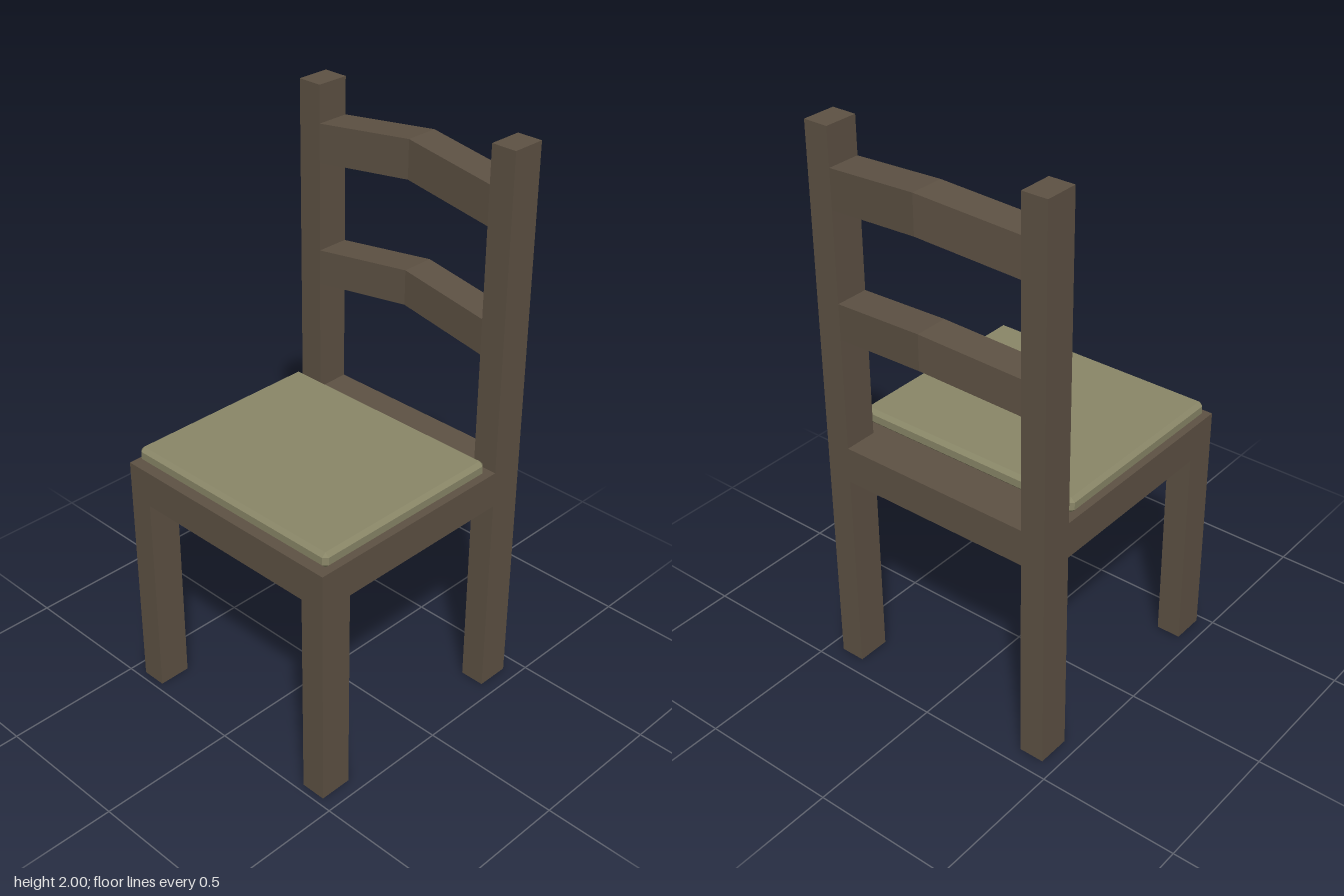
import * as THREE from 'three';
import { ConvexGeometry } from 'three/addons/geometries/ConvexGeometry.js';

const wood = new THREE.MeshStandardMaterial({ color: 0x5e5244, flatShading: true });
const fabric = new THREE.MeshStandardMaterial({ color: 0x8a8768, flatShading: true });

// Box given by its minimum and maximum corners
function box(name, [x0, y0, z0], [x1, y1, z1]) {
  const geometry = new THREE.BoxGeometry(x1 - x0, y1 - y0, z1 - z0);
  geometry.translate((x0 + x1) / 2, (y0 + y1) / 2, (z0 + z1) / 2);
  const mesh = new THREE.Mesh(geometry, wood);
  mesh.name = name;
  return mesh;
}

// Back slat whose middle is pushed up and backwards
function slat(name, bottom, top) {
  const half = 0.357, bow = 0.035;
  const geometry = new THREE.BoxGeometry(half * 2, top - bottom, 0.119, 2, 1, 1);
  geometry.translate(0, (top + bottom) / 2, -0.38);
  const p = geometry.attributes.position;
  for (let i = 0; i < p.count; i++) {
    const k = bow * (1 - Math.abs(p.getX(i)) / half);
    p.setY(i, p.getY(i) + k);
    p.setZ(i, p.getZ(i) - k);
  }
  geometry.computeVertexNormals();
  const mesh = new THREE.Mesh(geometry, wood);
  mesh.name = name;
  return mesh;
}

// Box with every edge and corner chamfered
function chamferedBox(w, h, d, c) {
  const points = [];
  for (const sx of [-1, 1]) for (const sy of [-1, 1]) for (const sz of [-1, 1]) {
    for (let axis = 0; axis < 3; axis++) {
      const half = [w / 2, h / 2, d / 2].map((v, i) => (i === axis ? v : v - c));
      points.push(new THREE.Vector3(sx * half[0], sy * half[1], sz * half[2]));
    }
  }
  return new ConvexGeometry(points);
}

export function createModel() {
  const chair = new THREE.Group();
  chair.name = 'chair';

  // Legs, the rear pair running up as back posts
  for (const [side, x0, x1] of [['left', 0.357, 0.447], ['right', -0.447, -0.357]]) {
    chair.add(box(`${side}FrontLeg`, [x0, 0, 0.357], [x1, 0.76, 0.475]));
    chair.add(box(`${side}BackLeg`, [x0, 0, -0.44], [x1, 0.76, -0.32]));
    chair.add(box(`${side}BackPost`, [x0, 0.89, -0.44], [x1, 2, -0.32]));
  }

  // Solid seat
  chair.add(box('seat', [-0.447, 0.76, -0.44], [0.447, 0.89, 0.475]));

  // Back slats
  chair.add(slat('lowerSlat', 1.295, 1.42));
  chair.add(slat('upperSlat', 1.735, 1.87));

  // Cushion
  const cushion = new THREE.Mesh(chamferedBox(0.864, 0.055, 0.733, 0.014), fabric);
  cushion.name = 'cushion';
  cushion.position.set(0, 0.9185, 0.081);
  chair.add(cushion);

  return chair;
}
